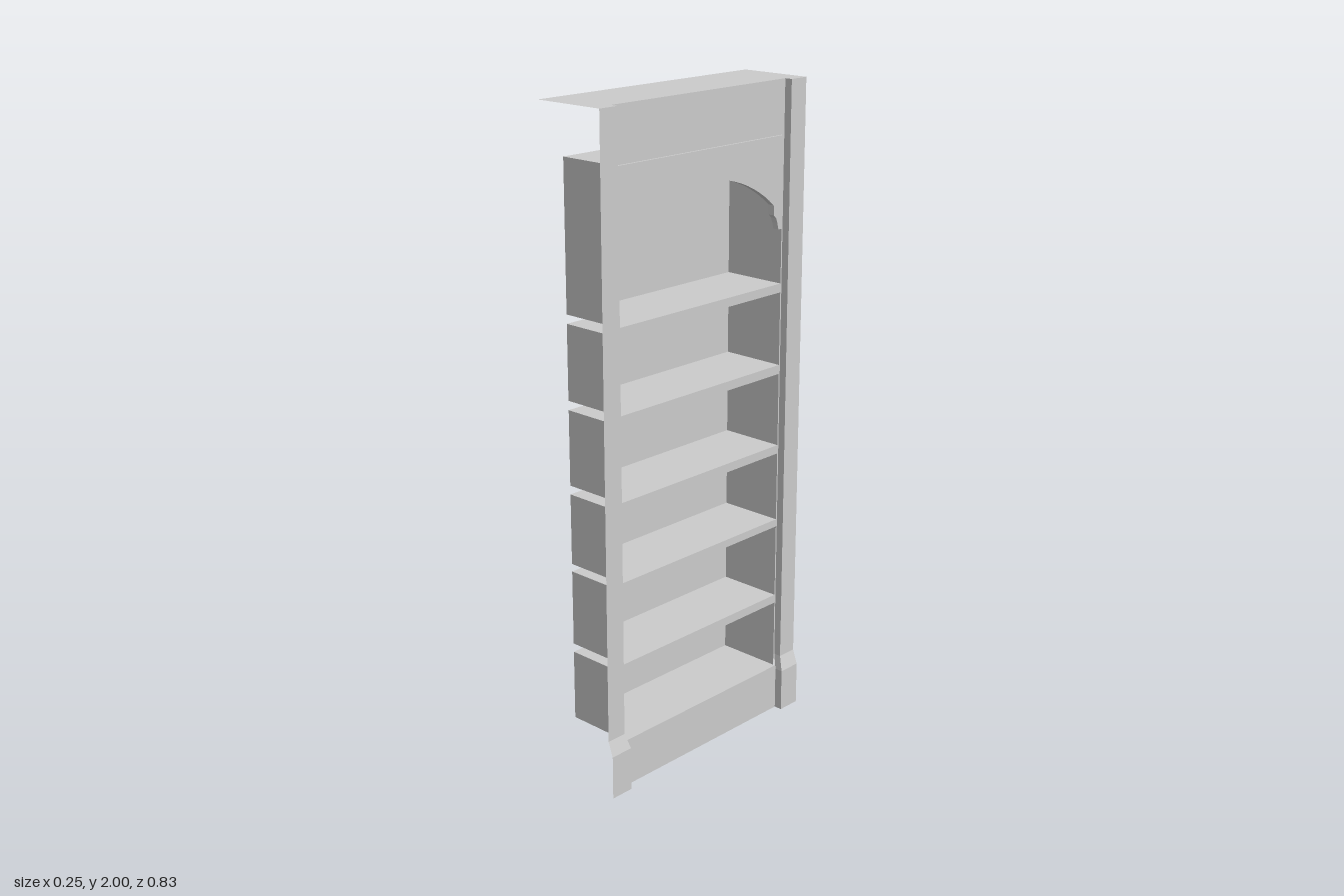
import * as THREE from 'three';

// Built-in shelving niche facing +x, made of thin sheets.
const FRAME = 0.084, FACE = 0.091, PLINTH = 0.0985, BACK = -0.115;
const HALF = 0.337, TOP = 2;

const grey = new THREE.MeshStandardMaterial({
  color: 0xcccccc, side: THREE.DoubleSide, flatShading: true,
});

function add(group, name, geometry, x = 0, y = 0, z = 0) {
  const mesh = new THREE.Mesh(geometry, grey);
  mesh.name = name;
  mesh.position.set(x, y, z);
  group.add(mesh);
  return mesh;
}

// Sheet skinned over rows of points
function skin(rows) {
  const n = rows[0].length;
  const index = [];
  for (let j = 0; j < rows.length - 1; j++) {
    for (let i = 0; i < n - 1; i++) {
      const a = j * n + i, b = a + n;
      index.push(a, b, b + 1, a, b + 1, a + 1);
    }
  }
  const indexed = new THREE.BufferGeometry();
  indexed.setAttribute('position', new THREE.Float32BufferAttribute(rows.flat(2), 3));
  indexed.setIndex(index);
  const geometry = indexed.toNonIndexed();
  geometry.computeVertexNormals();
  return geometry;
}

// Pilaster with an L-shaped section that flares out into the plinth
function pilaster(side) {
  const section = (y, front, back, inner) => {
    const points = [
      [front, y, 0.415 * side], [front, y, inner * side],
      [back, y, inner * side], [back, y, HALF * side],
    ];
    return side > 0 ? points : points.reverse();
  };
  return skin([
    section(TOP, 0.108, FRAME, 0.35),
    section(0.18, 0.108, FRAME, 0.35),
    section(0.135, 0.124, PLINTH, 0.34),
    section(0, 0.124, PLINTH, 0.34),
  ]);
}

// Compartment: a box without its front face (the +x side is the first group)
function compartment(height) {
  const box = new THREE.BoxGeometry(FACE - BACK, height, 2 * HALF);
  box.setIndex(Array.from(box.index.array).slice(6));
  box.clearGroups();
  return box;
}

// Arched valance with small stepped brackets at both ends
function valance() {
  const bracket = [
    [HALF, 1.565], [0.323, 1.565], [0.318, 1.585],
    [0.312, 1.6], [0.302, 1.61], [0.3, 1.64],
  ];
  const radius = 0.458, centreY = 1.752 - radius;
  const sweep = Math.asin(0.3 / radius);
  const outline = [[-HALF, 1.84], ...bracket.map(([z, y]) => [-z, y])];
  const steps = 24;
  for (let i = 1; i < steps; i++) {
    const a = sweep * (2 * i / steps - 1);
    outline.push([radius * Math.sin(a), centreY + radius * Math.cos(a)]);
  }
  outline.push(...bracket.slice().reverse(), [HALF, 1.84]);
  const shape = new THREE.Shape(outline.map(([z, y]) => new THREE.Vector2(z, y)));
  return new THREE.ExtrudeGeometry(shape, { depth: 0.02, bevelEnabled: false })
    .rotateY(Math.PI / 2);
}

// Flat top sheet, notched between the pilasters
function topSheet() {
  const outline = [
    [-0.125, -0.415], [0.108, -0.415], [0.108, -0.35], [FRAME, -0.35],
    [FRAME, 0.35], [0.108, 0.35], [0.108, 0.415], [-0.125, 0.415],
  ];
  const shape = new THREE.Shape(outline.map(([x, z]) => new THREE.Vector2(x, z)));
  return new THREE.ShapeGeometry(shape).rotateX(-Math.PI / 2);
}

export function createModel() {
  const model = new THREE.Group();
  model.name = 'shelvingNiche';

  add(model, 'topSheet', topSheet(), 0, TOP, 0);
  add(model, 'leftPilaster', pilaster(1));
  add(model, 'rightPilaster', pilaster(-1));

  // Header above the compartments and the ledge beneath it
  add(model, 'header', skin([
    [[FRAME, TOP, HALF], [FRAME, TOP, -HALF]],
    [[FRAME, 1.84, HALF], [FRAME, 1.84, -HALF]],
  ]));
  add(model, 'valance', valance(), FACE - 0.02, 0, 0);

  // Plinth board with its narrow top ledge
  add(model, 'plinth', skin([
    [[FACE, 0.148, HALF], [FACE, 0.148, -HALF]],
    [[PLINTH, 0.148, HALF], [PLINTH, 0.148, -HALF]],
    [[PLINTH, 0, 0.34], [PLINTH, 0, -0.34]],
  ]));

  // Compartments, each [bottom, top], and the shelf edges closing the gaps
  const bays = [
    [0.148, 0.365], [0.392, 0.624], [0.648, 0.865],
    [0.892, 1.12], [1.148, 1.373], [1.4, 1.84],
  ];
  bays.forEach(([bottom, top], i) => {
    add(model, 'compartment', compartment(top - bottom),
      (FACE + BACK) / 2, (bottom + top) / 2, 0);
    if (i === bays.length - 1) return;
    const next = bays[i + 1][0];
    add(model, 'shelfEdge', new THREE.BoxGeometry(FACE - FRAME, next - top, 2 * HALF),
      (FACE + FRAME) / 2, (top + next) / 2, 0);
  });

  return model;
}
